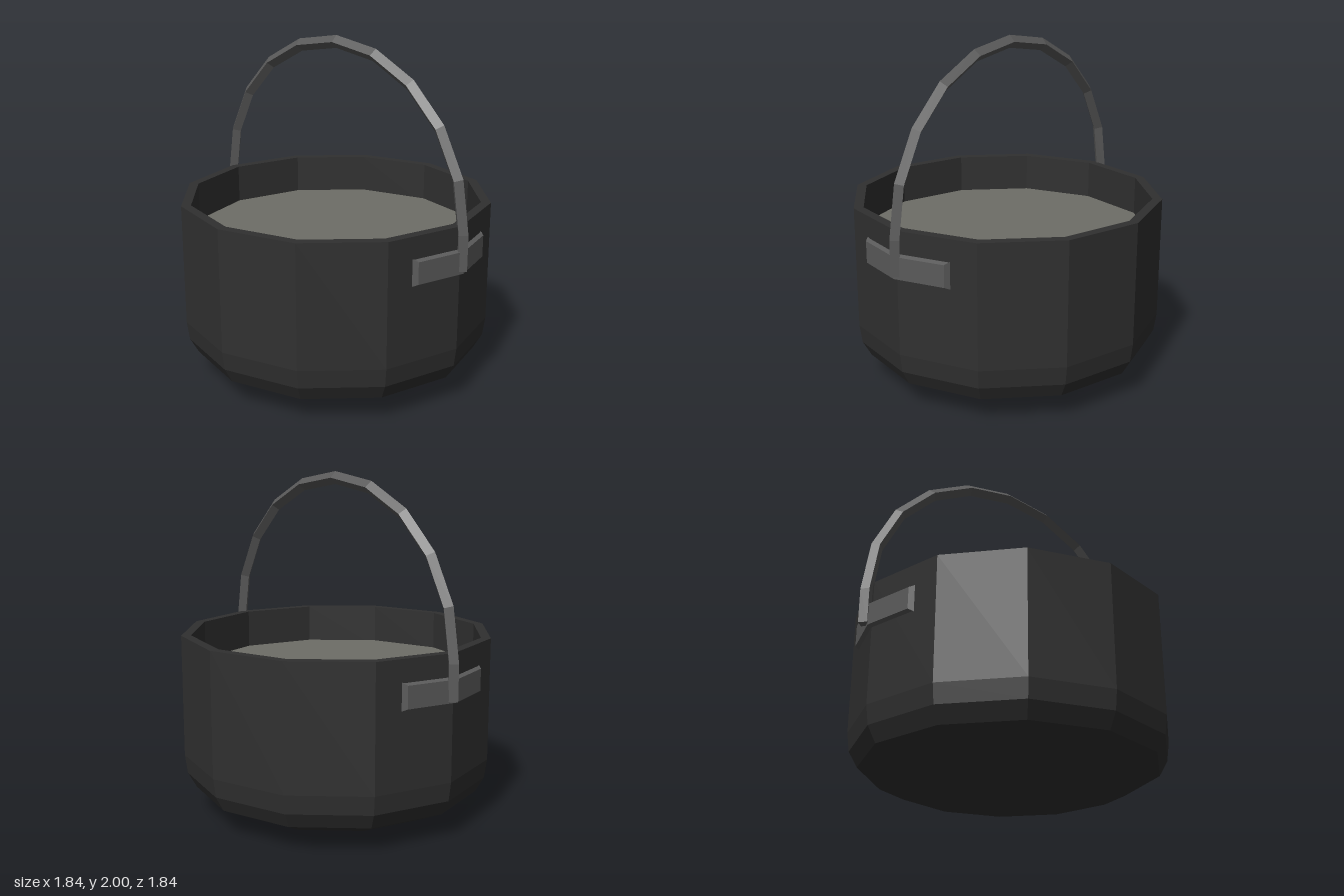
import * as THREE from 'three';

const SIDES = 12;
const R = 0.92;
const rad = THREE.MathUtils.degToRad;

const paint = (color) => new THREE.MeshStandardMaterial({ color, flatShading: true });

function part(name, geometry, material) {
  const mesh = new THREE.Mesh(geometry, material);
  mesh.name = name;
  return mesh;
}

// Skins a row of four-cornered rings and closes both ends
function loft(rings) {
  const pos = [];
  const quad = (a, b, c, d) => [a, b, c, a, c, d].forEach((p) => pos.push(...p));
  for (let i = 0; i < rings.length - 1; i++) {
    for (let k = 0; k < 4; k++) {
      const n = (k + 1) % 4;
      quad(rings[i][k], rings[i + 1][k], rings[i + 1][n], rings[i][n]);
    }
  }
  quad(...rings[0]);
  quad(...[...rings[rings.length - 1]].reverse());
  const geometry = new THREE.BufferGeometry();
  geometry.setAttribute('position', new THREE.Float32BufferAttribute(pos, 3));
  geometry.computeVertexNormals();
  return geometry;
}

// Half-circle bail with straight ends and a diamond section
function bailGeometry() {
  const radius = 0.94, centreY = 1.025, endY = 0.82, s = 0.037;
  const ring = (x, y, nx, ny) => [
    [x + nx * s, y + ny * s, 0], [x, y, s],
    [x - nx * s, y - ny * s, 0], [x, y, -s],
  ];
  const rings = [ring(radius, endY, 1, 0)];
  for (let i = 0; i <= 10; i++) {
    const c = Math.cos(i * Math.PI / 10), n = Math.sin(i * Math.PI / 10);
    rings.push(ring(radius * c, centreY + radius * n, c, n));
  }
  rings.push(ring(-radius, endY, -1, 0));
  return loft(rings);
}

// Bevelled plate folded around one corner of the pot, on the +x side
function plateGeometry() {
  const c = Math.cos(Math.PI / SIDES), s = Math.sin(Math.PI / SIDES);
  // t runs along the two wall facets from the corner, d is the distance off the wall
  const at = (t, d, y) => {
    if (t === 0) return [R + d / c, y, 0];
    const a = Math.abs(t), side = Math.sign(t);
    return [R - a * s + d * c, y, side * (a * c + d * s)];
  };
  const station = (t, d, inset) => [
    at(t, d, 0.945 - inset), at(t, d, 0.79 + inset),
    at(t, -0.01, 0.79), at(t, -0.01, 0.945),
  ];
  return loft([
    station(-0.32, 0, 0), station(-0.297, 0.024, 0.014), station(0, 0.024, 0.014),
    station(0.297, 0.024, 0.014), station(0.32, 0, 0),
  ]);
}

export function createModel() {
  const model = new THREE.Group();
  model.name = 'cauldron';
  const iron = paint(0x303030);
  const steel = paint(0x5a5a5a);

  // Pot wall: rounded bottom, straight side, flat rim, inner wall
  const profile = [
    [0, 0], [0.39, 0.028], [0.69, 0.07], [0.855, 0.15], [0.905, 0.24], [R, 0.35],
    [R, 1.07], [0.863, 1.07], [0.863, 0.8],
  ].map(([x, y]) => new THREE.Vector2(x, y));
  model.add(part('pot', new THREE.LatheGeometry(profile, SIDES, rad(4)), iron));

  // Filling
  const surface = new THREE.CircleGeometry(0.864, SIDES);
  surface.rotateX(-Math.PI / 2).rotateY(rad(4)).translate(0, 0.84, 0);
  model.add(part('filling', surface, paint(0x6e6e67)));

  // Bail handle
  const bail = part('bailHandle', bailGeometry(), steel);
  bail.rotation.y = rad(-27);
  bail.position.z = -0.02;
  model.add(bail);

  // Mounting plates on opposite corners
  const plate = plateGeometry();
  [['leftPlate', 0], ['rightPlate', 180]].forEach(([name, turn]) => {
    const mesh = part(name, plate, steel);
    mesh.rotation.y = rad(turn - 26);
    model.add(mesh);
  });

  return model;
}
